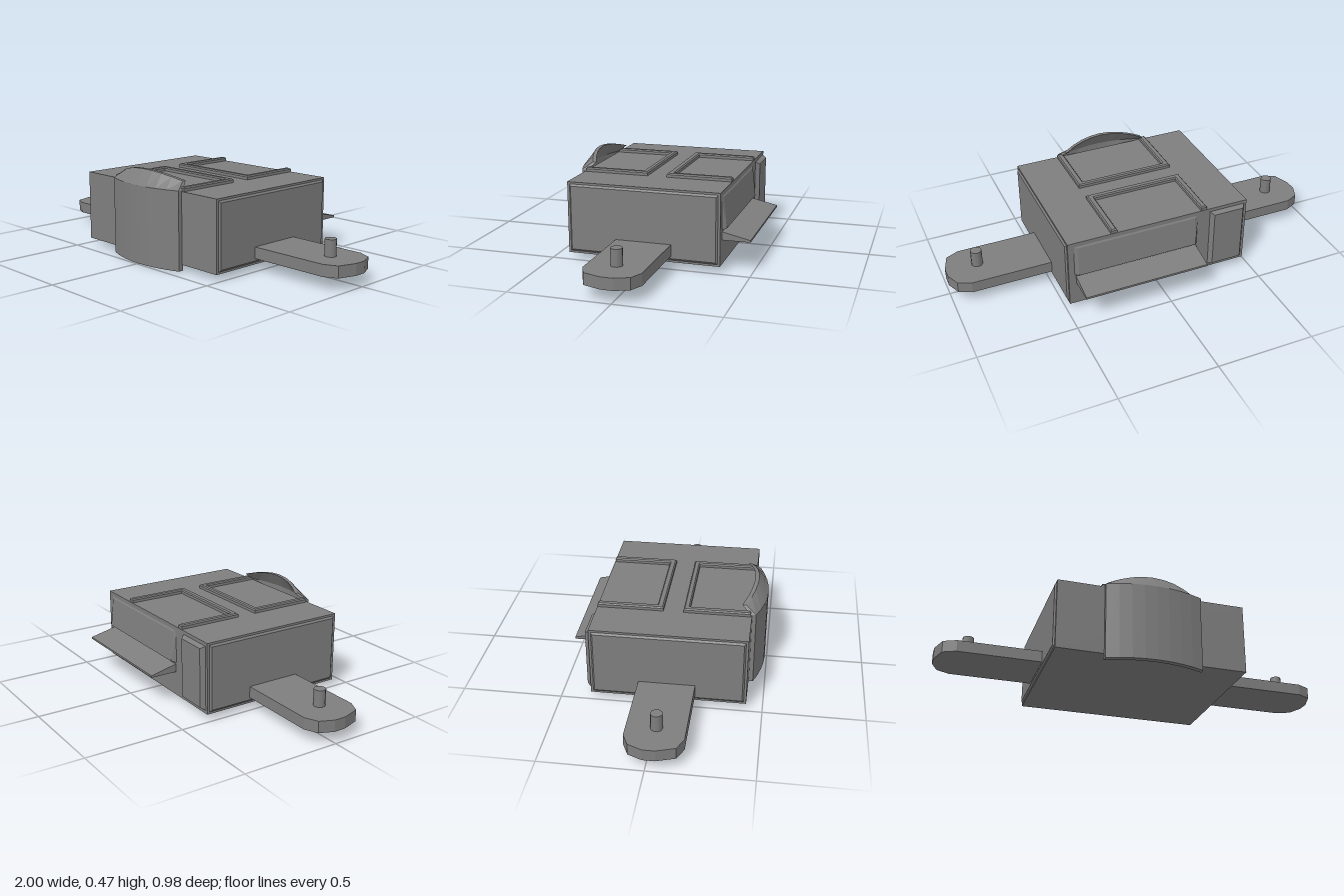
import * as THREE from 'three';
import { ConvexGeometry } from 'three/addons/geometries/ConvexGeometry.js';

const grey = new THREE.MeshStandardMaterial({ color: 0x7e7e7e });
grey.name = 'grey';

function add(parent, name, geometry) {
  const mesh = new THREE.Mesh(geometry, grey);
  mesh.name = name;
  parent.add(mesh);
  return mesh;
}

// Solid wrapped around a list of corners
const hull = (points) => new ConvexGeometry(points.map((p) => new THREE.Vector3(...p)));

// Four corners of a rectangle, placed by a mapping function
const corners = (a0, a1, b0, b1, place) =>
  [[a0, b0], [a1, b0], [a1, b1], [a0, b1]].map(([a, b]) => place(a, b));

// Horizontal slab from an x,z outline
function slab(outline, bottom, top, bevel = 0) {
  const shape = new THREE.Shape(outline.map(([x, z]) => new THREE.Vector2(x, z)));
  const geometry = new THREE.ExtrudeGeometry(shape, {
    depth: top - bottom - bevel * 2,
    bevelEnabled: bevel > 0,
    bevelThickness: bevel, bevelSize: bevel, bevelOffset: -bevel, bevelSegments: 1,
  });
  return geometry.rotateX(Math.PI / 2).translate(0, top - bevel, 0);
}

// Curved front shield with a lip leaning back, built from cross-sections along x
function shieldGeometry() {
  const steps = 8, positions = [];
  const section = (i) => {
    const t = (i / steps) * 2 - 1, x = 0.245 * t, z = 0.49 - 0.05 * t * t;
    const xt = 0.22 * t, yt = 0.47 - 0.037 * t * t;
    return [
      [x, 0, z], [x, 0.395, z], [xt, yt, z - 0.05],
      [xt, yt, z - 0.07], [x, 0.395, z - 0.027], [x, 0, z - 0.027],
    ];
  };
  const quad = (a, b, c, d) => positions.push(...a, ...b, ...c, ...a, ...c, ...d);
  for (let i = 0; i < steps; i++) {
    const p = section(i), q = section(i + 1);
    for (let k = 0; k < 6; k++) {
      const n = (k + 1) % 6;
      quad(p[k], q[k], q[n], p[n]);
    }
  }
  const l = section(0), r = section(steps);
  for (const [a, b, c, d] of [[0, 1, 4, 5], [1, 2, 3, 4]]) {
    quad(l[a], l[b], l[c], l[d]);
    quad(r[d], r[c], r[b], r[a]);
  }
  const geometry = new THREE.BufferGeometry();
  geometry.setAttribute('position', new THREE.Float32BufferAttribute(positions, 3));
  geometry.computeVertexNormals();
  return geometry;
}

export function createModel() {
  const model = new THREE.Group();
  model.name = 'model';

  // Main box
  add(model, 'body', new THREE.BoxGeometry(0.964, 0.36, 0.77).translate(0, 0.21, 0.035));

  // Bevelled side panels, flat arms with rounded tips, and upright pegs
  for (const s of [-1, 1]) {
    const side = s > 0 ? 'left' : 'right';
    add(model, side + 'SidePanel', hull([
      ...corners(-0.34, 0.41, 0.038, 0.382, (z, y) => [s * 0.48, y, z]),
      ...corners(-0.33, 0.4, 0.05, 0.37, (z, y) => [s * 0.49, y, z]),
    ]));
    add(model, side + 'Arm', slab([
      [0.45, -0.11], [0.905, -0.11], [0.97, -0.08], [1, -0.01], [1, 0.05],
      [0.97, 0.14], [0.905, 0.17], [0.45, 0.17],
    ].map(([x, z]) => [s * x, z]), 0.062, 0.12));
    add(model, side + 'Peg',
      new THREE.CylinderGeometry(0.029, 0.029, 0.09, 10).translate(s * 0.838, 0.158, 0.033));
  }

  // U-shaped raised frames on the roof, open towards the front and back edges
  const frame = (outer, bar, inner) => slab([
    [-0.258, outer], [-0.258, bar], [0.258, bar], [0.258, outer],
    [0.226, outer], [0.226, inner], [-0.226, inner], [-0.226, outer],
  ], 0.38, 0.41, 0.006);
  add(model, 'frontRoofFrame', frame(0.415, 0.083, 0.113));
  add(model, 'backRoofFrame', frame(-0.348, -0.017, -0.05));

  // Curved front shield
  add(model, 'frontShield', shieldGeometry());

  // Narrow bevelled panel on the back
  add(model, 'backPanel', hull([
    ...corners(-0.472, -0.272, 0.045, 0.375, (x, y) => [x, y, -0.345]),
    ...corners(-0.452, -0.292, 0.06, 0.36, (x, y) => [x, y, -0.372]),
  ]));

  // Back hatch, standing out towards its lower edge
  add(model, 'backHatch', hull([
    ...corners(-0.21, 0.455, 0.2, 0.375, (x, y) => [x, y, -0.345]),
    ...corners(-0.19, 0.435, 0.21, 0.36, (x, y) => [x, y, y > 0.3 ? -0.355 : -0.372]),
  ]));

  // Wedge-shaped shelf below the hatch
  const profile = [[0.152, -0.34], [0.195, -0.34], [0.162, -0.488], [0.152, -0.488]];
  add(model, 'backShelf', hull(
    [-0.2, 0.445].flatMap((x) => profile.map(([y, z]) => [x, y, z]))));

  return model;
}
